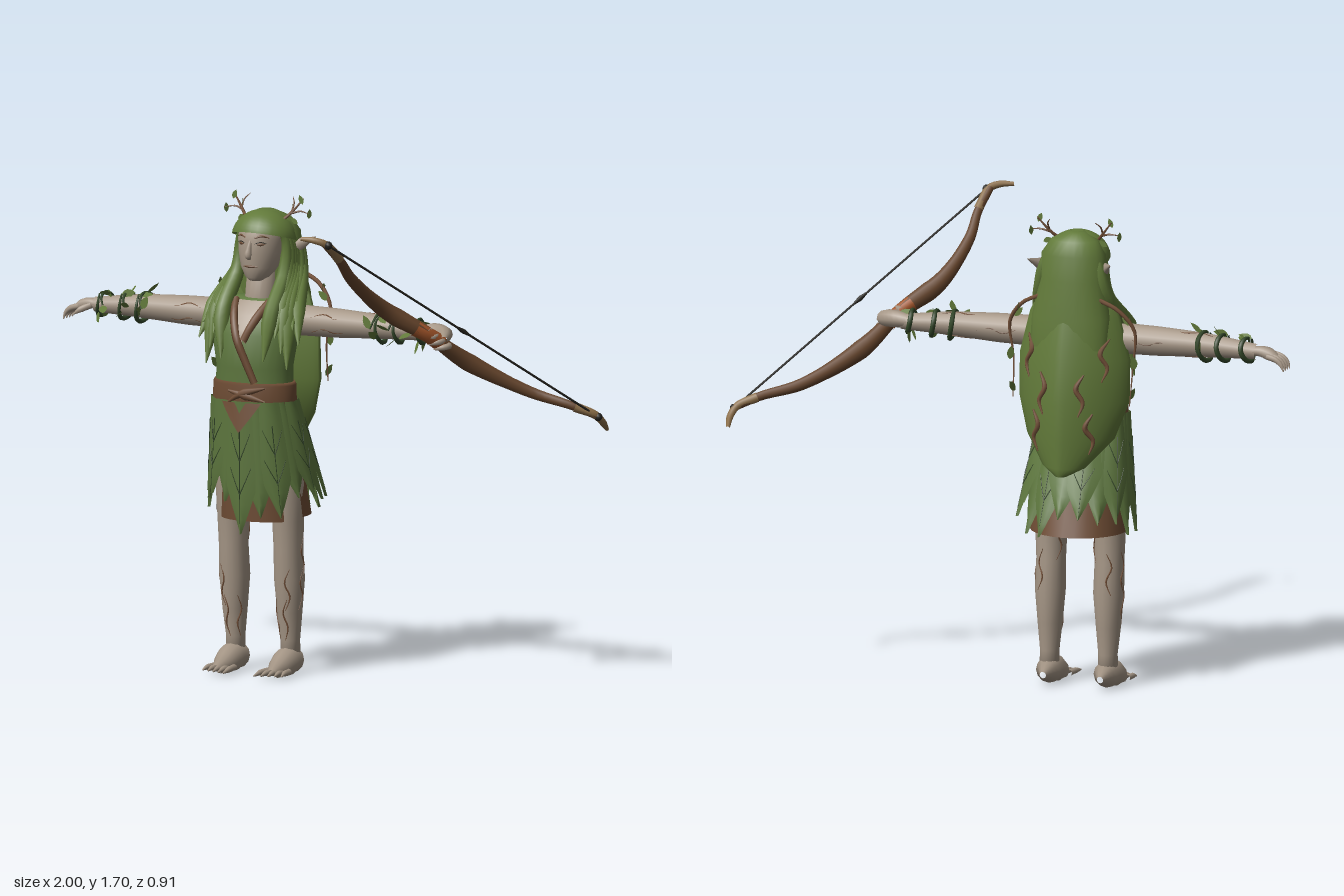
import * as THREE from 'three';

const V = (p) => new THREE.Vector3(...p);
const mat = (name, color, side = THREE.FrontSide) => {
  const m = new THREE.MeshStandardMaterial({ color, side });
  m.name = name;
  return m;
};

// Rings [y, centreZ, radiusX, radiusZ], bottom to top, joined into a closed skin.
// p above 1 makes the section pointed, front scales the depth of its front half
function loft(rings, n = 20, cx = 0, p = 1, front = 1) {
  const pos = [], idx = [], bend = (v) => Math.sign(v) * Math.abs(v) ** p;
  for (const [y, cz, rx, rz] of rings)
    for (let j = 0; j < n; j++) {
      const a = (j / n) * Math.PI * 2, c = bend(Math.cos(a));
      pos.push(cx + bend(Math.sin(a)) * rx, y, cz + c * rz * (c > 0 ? front : 1));
    }
  for (let i = 0; i < rings.length - 1; i++)
    for (let j = 0; j < n; j++) {
      const a = i * n + j, b = i * n + (j + 1) % n;
      idx.push(a, b, b + n, a, b + n, a + n);
    }
  const last = (rings.length - 1) * n, c = pos.length / 3, top = rings[rings.length - 1];
  pos.push(cx, rings[0][0], rings[0][1], cx, top[0], top[1]);
  for (let j = 0; j < n; j++) {
    const k = (j + 1) % n;
    idx.push(c, k, j, c + 1, last + j, last + k);
  }
  return surface(pos, idx);
}

function surface(pos, idx) {
  const g = new THREE.BufferGeometry();
  g.setAttribute('position', new THREE.Float32BufferAttribute(pos, 3));
  g.setIndex(idx);
  g.computeVertexNormals();
  return g;
}

// Ring of a loft at height y, and the depth of its front (s=1) or back (s=-1)
function ringAt(rings, y) {
  let i = 0;
  while (i < rings.length - 2 && rings[i + 1][0] < y) i++;
  const t = THREE.MathUtils.clamp((y - rings[i][0]) / (rings[i + 1][0] - rings[i][0]), 0, 1);
  return rings[i].map((v, k) => v + (rings[i + 1][k] - v) * t);
}
function depth(rings, x, y, s = 1, p = 1) {
  const [, cz, rx, rz] = ringAt(rings, y);
  return cz + s * rz * Math.max(0, 1 - Math.abs(x / rx) ** (2 / p)) ** (p / 2);
}

// Tapering tube through points; scale flattens its section
function strand(points, radii, seg = 14, sides = 8, scale = [1, 1, 1]) {
  const curve = new THREE.CatmullRomCurve3(points.map(V));
  const g = new THREE.TubeGeometry(curve, seg, 1, sides);
  const p = g.attributes.position, v = new THREE.Vector3(), s = V(scale);
  for (let i = 0; i <= seg; i++) {
    const c = curve.getPointAt(i / seg), f = (i / seg) * (radii.length - 1);
    const k = Math.min(Math.floor(f), radii.length - 2);
    const r = radii[k] + (radii[k + 1] - radii[k]) * (f - k);
    for (let j = 0; j <= sides; j++) {
      const n = i * (sides + 1) + j;
      v.fromBufferAttribute(p, n).sub(c).multiplyScalar(r).multiply(s).add(c);
      p.setXYZ(n, v.x, v.y, v.z);
    }
  }
  return g;
}

// Point on a skirt that widens from ellipse e0 to e1, each [y, centreZ, radiusX, radiusZ]
function skirtPoint(e0, e1, t, a, out = 0) {
  const [y, cz, rx, rz] = e0.map((v, k) => v + (e1[k] - v) * t);
  return [Math.sin(a) * (rx + out), y, cz + Math.cos(a) * (rz + out)];
}
function panel(angle, width, e0, e1, rows = 6, cols = 4, ridge = 0) {
  const pos = [], idx = [];
  for (let i = 0; i <= rows; i++)
    for (let j = 0; j <= cols; j++) {
      const u = (j / cols) * 2 - 1;
      pos.push(...skirtPoint(e0, e1, i / rows, angle + u * width(i / rows), ridge * (1 - Math.abs(u))));
      if (i < rows && j < cols) {
        const a = i * (cols + 1) + j, b = a + cols + 1;
        idx.push(a, b, b + 1, a, b + 1, a + 1);
      }
    }
  return surface(pos, idx);
}

export function createModel() {
  const model = new THREE.Group(), body = new THREE.Group();
  body.name = 'figure';
  body.position.x = -0.215;
  model.add(body);
  const D = THREE.DoubleSide;
  const skin = mat('skin', 0xa59686), hair = mat('hair green', 0x627a3a, D), tunicM = mat('tunic green', 0x5d763e, D);
  const leather = mat('leather', 0x6e4c34, D), vine = mat('vine green', 0x34482a), bark = mat('bark brown', 0x75523a);
  const wood = mat('bow wood', 0x65442b), pale = mat('pale wood', 0x8b6e48), dark = mat('dark', 0x26241f), wrap = mat('grip orange', 0xa2552a);
  const add = (name, g, m, parent = body) => {
    const o = new THREE.Mesh(g, m);
    o.name = name;
    parent.add(o);
    return o;
  };
  const leafShape = new THREE.Shape();
  leafShape.moveTo(0, 0);
  leafShape.quadraticCurveTo(0.03, 0.022, 0, 0.055);
  leafShape.quadraticCurveTo(-0.03, 0.022, 0, 0);
  const leafGeo = new THREE.ShapeGeometry(leafShape, 4);
  const leaf = (p, r, s = 1) => {
    const o = add('smallLeaf', leafGeo, hair);
    o.position.set(...p);
    o.rotation.set(...r);
    o.scale.setScalar(s);
  };

  // Torso, belt and neckline
  const torso = [[0.85, -0.06, 0.165, 0.115], [0.97, -0.045, 0.15, 0.098], [1.1, -0.045, 0.145, 0.1],
    [1.22, -0.05, 0.165, 0.11], [1.3, -0.075, 0.17, 0.085], [1.34, -0.09, 0.1, 0.06]];
  add('tunic', loft(torso, 28), tunicM);
  add('belt', loft([[0.965, -0.045, 0.157, 0.1], [0.975, -0.045, 0.16, 0.105], [1.04, -0.045, 0.157, 0.105], [1.05, -0.045, 0.152, 0.1]], 28), leather);
  add('beltFlap', panel(0, (t) => 0.5 * (1 - t) + 0.01, [0.98, -0.045, 0.16, 0.112], [0.875, -0.045, 0.17, 0.122]), leather);
  for (const k of [-1, 1])
    add('beltKnot', strand([[-0.05, 1 + k * 0.02, 0.058], [0, 1.01, 0.064], [0.09, 1.01 - k * 0.025, 0.045]], [0.004, 0.015, 0.003]), leather);
  const onChest = (x, y, o) => [x, y, depth(torso, x, y) + o];
  const vPos = [], vIdx = [];
  for (let i = 0; i <= 6; i++)
    for (let j = 0; j <= 4; j++) {
      vPos.push(...onChest((j / 2 - 1) * (0.004 + i * 0.0105), 1.19 + i * 0.024, 0.005));
      if (i < 6 && j < 4) {
        const a = i * 5 + j;
        vIdx.push(a, a + 1, a + 6, a, a + 6, a + 5);
      }
    }
  add('chestSkin', surface(vPos, vIdx), skin);
  for (const s of [-1, 1])
    add('necklineTrim', strand([1, 0.7, 0.4, 0.1, -0.35, -0.9].slice(0, s < 0 ? 6 : 4).map((t) =>
      onChest(s * (0.005 + t * 0.063), 1.185 + t * 0.148, 0.006)), [0.015, 0.016, 0.014], 14, 8, [1, 1, 0.5]), leather);

  // Head and face
  add('neck', loft([[1.28, -0.085, 0.07, 0.05], [1.34, -0.085, 0.055, 0.05], [1.46, -0.1, 0.052, 0.05]], 16), skin);
  const head = [[1.402, -0.06, 0.025, 0.03], [1.415, -0.07, 0.044, 0.054], [1.45, -0.086, 0.067, 0.078],
    [1.5, -0.1, 0.08, 0.095], [1.55, -0.105, 0.085, 0.098], [1.6, -0.11, 0.08, 0.09], [1.63, -0.11, 0.05, 0.06]];
  add('head', loft(head, 24), skin);
  const onFace = (x, y, o = 0.002) => [x, y, depth(head, x, y) + o];
  add('nose', strand([onFace(0, 1.55, -0.006), onFace(0, 1.52, 0.005), onFace(0, 1.494, 0.01), onFace(0, 1.482, -0.005)], [0.005, 0.009, 0.014, 0.004]), skin);
  add('mouth', strand([-0.028, 0, 0.028].map((x) => onFace(x, 1.456)), [0.002, 0.006, 0.002], 8, 6, [1, 0.8, 0.5]), leather);
  for (const s of [-1, 1]) {
    add('eye', strand([0.024, 0.038, 0.052].map((x) => onFace(s * x, 1.536)), [0.001, 0.007, 0.001], 8, 6, [1, 0.8, 0.4]), leather);
    add('eyelid', strand([0.02, 0.038, 0.056].map((x, i) => onFace(s * x, 1.538 + [0, 0.006, 0][i])), [0.001, 0.002, 0.001], 8, 5), dark);
    add('eyebrow', strand([0.018, 0.04, 0.062].map((x, i) => onFace(s * x, 1.558 + [0, 0.007, 0][i])), [0.002, 0.004, 0.001], 8, 6, [1, 1, 0.5]), bark);
    add('ear', strand([[s * 0.07, 1.505, -0.12], [s * 0.115, 1.52, -0.155], [s * 0.157, 1.548, -0.205]], [0.02, 0.025, 0.001], 10, 8, [0.5, 1, 1]), skin);
  }

  // Hair: cap, long back and locks over the shoulders
  const cap = new THREE.SphereGeometry(1, 28, 12, 0, Math.PI * 2, 0, Math.PI / 2).scale(0.118, 0.1, 0.113).rotateX(-0.28);
  add('hairCap', cap.translate(0, 1.546, -0.118), hair);
  add('backHair', loft([[1.18, -0.21, 0.12, 0.055], [1.24, -0.19, 0.15, 0.07], [1.35, -0.18, 0.145, 0.08], [1.48, -0.16, 0.12, 0.08],
    [1.57, -0.155, 0.118, 0.08], [1.62, -0.145, 0.085, 0.065], [1.645, -0.13, 0.03, 0.03]], 24), hair);
  for (const s of [-1, 1])
    for (let i = 0; i < 7; i++) {
      const u = i / 6, low = 1.13 + 0.05 * ((i * 3) % 4) - u * 0.04;
      add('hairLock', strand([[s * 0.055, 1.6, -0.07 - u * 0.08], [s * (0.09 + u * 0.01), 1.54, -0.105 - u * 0.07],
        [s * (0.094 + u * 0.032), 1.43, -0.09 - u * 0.07], [s * (0.098 + u * 0.07), 1.3, 0.01 - u * 0.06],
        [s * (0.085 + u * 0.115), low, 0.052 - u * 0.05]], [0.012, 0.022, 0.027, 0.03, 0.002], 20, 8), hair);
    }

  // Mossy cloak with roots on the back
  const cloak = [[0.79, -0.285, 0.02, 0.015], [0.82, -0.25, 0.08, 0.055], [0.92, -0.18, 0.165, 0.127], [1.05, -0.145, 0.208, 0.163],
    [1.2, -0.14, 0.208, 0.15], [1.35, -0.14, 0.17, 0.118], [1.45, -0.14, 0.12, 0.09]];
  add('cloak', loft(cloak, 32, 0, 1.35, 0.25), hair);
  for (const s of [-1, 1]) {
    for (const [x, y] of [[0.07, 1.16], [0.14, 1.28], [0.1, 1.02]])
      add('cloakRoot', strand([0, 1, 2, 3].map((i) => {
        const px = s * (x + [0.012, -0.012, 0.012, -0.004][i]), py = y - i * 0.05;
        return [px, py, depth(cloak, px, py, -1, 1.35) - 0.003];
      }), [0.003, 0.01, 0.008, 0.002], 18, 6), bark);
    add('shoulderRoot', strand([[s * 0.11, 1.42, -0.2], [s * 0.18, 1.385, -0.19], [s * 0.235, 1.31, -0.17], [s * 0.225, 1.18, -0.16], [s * 0.22, 1.04, -0.18]],
      [0.008, 0.007, 0.003, 0.002], 20, 6), bark);
    [[0.225, 1.33], [0.235, 1.17], [0.215, 1.06], [0.2, 1.37]].forEach(([x, y], i) => leaf([s * x, y, -0.17], [0, i * 0.6, s * (0.9 - i * 0.8)], 0.9));
    // Twigs on the head
    add('twig', strand([[s * 0.06, 1.6, -0.1], [s * 0.095, 1.635, -0.13], [s * 0.14, 1.69, -0.15]], [0.007, 0.005, 0.002], 8, 6), bark);
    add('twig', strand([[s * 0.095, 1.635, -0.13], [s * 0.13, 1.645, -0.14], [s * 0.17, 1.64, -0.13]], [0.004, 0.003, 0.001], 8, 6), bark);
    add('twig', strand([[s * 0.1, 1.64, -0.13], [s * 0.1, 1.67, -0.15], [s * 0.085, 1.69, -0.17]], [0.004, 0.003, 0.001], 8, 6), bark);
    [[0.14, 1.67], [0.165, 1.62], [0.1, 1.65], [0.12, 1.6]].forEach(([x, y], i) => leaf([s * x, y, -0.14], [0, i, s * (0.4 - i * 0.5)], 0.65));
  }

  // Leaf skirt in two layers over cloth panels; the outer leaves are veined
  const waist = [0.985, -0.045, 0.15, 0.1];
  add('skirtBase', panel(0, () => Math.PI, waist, [0.74, -0.085, 0.175, 0.13], 4, 28), tunicM);
  for (let layer = 0; layer < 2; layer++)
    for (let i = 0; i < 9; i++) {
      const a = ((i + layer / 2) / 9) * Math.PI * 2, o = layer ? 0 : 0.006;
      const tip = i === 0 && !layer ? 0.51 : [0.62, 0.57, 0.64][(i + layer) % 3];
      const e0 = [0.985, -0.045, 0.152 + o, 0.1 + o], e1 = [tip, -0.13, 0.205 + o, 0.18 + o];
      const w = (t) => 0.4 * (t < 0.55 ? 0.7 + t * 0.55 : 2.22 * (1 - t)) + 0.004;
      add('skirtLeaf', panel(a, w, e0, e1, 9, 4, 0.01), tunicM);
      const vein = (t0, t1, da) => add('leafVein', strand([skirtPoint(e0, e1, t0, a, 0.01),
        skirtPoint(e0, e1, (t0 + t1) / 2, a + da / 2, da ? 0.008 : 0.01), skirtPoint(e0, e1, t1, a + da, da ? 0.005 : 0.01)], [0.0022, 0.001], 4, 4), vine);
      if (layer) continue;
      vein(0.2, 0.92, 0);
      for (const k of [-1, 1]) {
        vein(0.7, 0.5, k * 0.22);
        vein(0.45, 0.24, k * 0.22);
      }
    }
  add('frontCloth', panel(0, () => 1.05, [0.9, -0.05, 0.13, 0.08], [0.55, -0.08, 0.145, 0.1], 4, 8), leather);
  add('backCloth', panel(Math.PI, () => 1.7, [0.9, -0.06, 0.15, 0.1], [0.565, -0.1, 0.175, 0.17], 4, 14), leather);

  // Legs, feet and arms
  const leg = [[0.06, -0.105, 0.036, 0.036], [0.12, -0.105, 0.034, 0.036], [0.22, -0.1, 0.044, 0.049], [0.34, -0.098, 0.054, 0.06],
    [0.45, -0.09, 0.052, 0.056], [0.55, -0.088, 0.056, 0.06], [0.68, -0.08, 0.06, 0.064], [0.82, -0.07, 0.04, 0.055]];
  for (const s of [-1, 1]) {
    add('leg', loft(leg, 16, s * 0.11), skin);
    for (let k = 0; k < 7; k++)
      add('legRoot', strand([0, 1, 2, 3].map((i) => {
        const y = 0.12 + (k % 4) * 0.11 + i * 0.05, r = ringAt(leg, y), a = k * 1.3 + (i % 2) * 0.35;
        return [s * (0.11 + Math.sin(a) * r[2]), y, r[1] + Math.cos(a) * r[3]];
      }), [0.001, 0.0035, 0.003, 0.001], 12, 5), bark);
    const foot = strand([[s * 0.108, 0.04, -0.178], [s * 0.108, 0.046, -0.13], [s * 0.11, 0.046, -0.08], [s * 0.11, 0.022, -0.01], [s * 0.112, 0.012, 0.035]],
      [0.012, 0.046, 0.05, 0.04, 0.02], 16, 12);
    const fp = foot.attributes.position;
    for (let i = 0; i < fp.count; i++) fp.setY(i, Math.max(0, fp.getY(i)));
    add('foot', foot, skin);
    for (let i = 0; i < 5; i++) {
      const x = 0.07 + i * 0.02;
      add('toe', strand([[s * x, 0.018, -0.02], [s * (x + (i - 2) * 0.003), 0.017, 0.03], [s * (x + (i - 2) * 0.004), 0.01, 0.08 - i * 0.007]], [0.012, 0.011, 0.002], 8, 8), skin);
    }
    add('arm', strand([[s * 0.12, 1.265, -0.1], [s * 0.3, 1.265, -0.1], [s * 0.48, 1.265, -0.1], [s * 0.67, 1.257, -0.1]], [0.055, 0.052, 0.042, 0.027], 16, 14), skin);
    for (let k = 0; k < 5; k++)
      add('armRoot', strand([0, 1, 2, 3].map((i) => {
        const x = 0.22 + (k % 2) * 0.14 + i * 0.05, a = k * 1.3 + 0.4 + (i % 2) * 0.3, r = 0.0565 - (x - 0.12) * 0.04;
        return [s * x, 1.265 + Math.sin(a) * r, -0.1 + Math.cos(a) * r];
      }), [0.001, 0.0035, 0.001], 10, 5), bark);
    // Leafy bands round the forearm
    [0.46, 0.53, 0.62].forEach((x0, k) => {
      const r = 0.051 - k * 0.005;
      const turn = Array.from({ length: 13 }, (_, i) => [s * (x0 + i * 0.0025 + 0.008 * Math.sin(i)),
        1.262 + Math.sin(i * 0.62) * r, -0.1 + Math.cos(i * 0.62) * r]);
      add('armVine', strand(turn, [0.003, 0.009, 0.009, 0.003], 40, 6), vine);
      for (let i = 0; i < 5; i++) leaf(turn[i * 3], [i * 1.3 + k, i * 0.8, s * 0.5 - i * 1.1], 1);
    });
  }

  // Open hand
  add('openPalm', strand([[-0.65, 1.258, -0.1], [-0.69, 1.26, -0.1], [-0.725, 1.25, -0.1], [-0.745, 1.238, -0.1]], [0.026, 0.03, 0.036, 0.022], 10, 10, [0.6, 0.6, 1]), skin);
  for (let i = 0; i < 4; i++) {
    const z = -0.133 + i * 0.021;
    add('openFinger', strand([[-0.72, 1.25, z], [-0.755, 1.24, z], [-0.775, 1.222, z], [-0.783, 1.2, z]], [0.011, 0.011, 0.009, 0.002], 8, 8), skin);
  }
  add('openThumb', strand([[-0.68, 1.255, -0.08], [-0.71, 1.24, -0.06], [-0.74, 1.22, -0.06]], [0.012, 0.011, 0.002], 8, 8), skin);

  // Hand closed on the bow
  add('gripPalm', strand([[0.64, 1.26, -0.1], [0.69, 1.265, -0.1], [0.74, 1.26, -0.08], [0.762, 1.25, -0.04]], [0.028, 0.036, 0.036, 0.012], 10, 10, [1, 0.85, 1]), skin);
  for (let i = 0; i < 4; i++) {
    const x = 0.765 - i * 0.017, y = 1.225 + i * 0.019, z = -0.055 + i * 0.016;
    add('gripFinger', strand([[x - 0.02, y, z - 0.035], [x + 0.008, y, z], [x - 0.014, y - 0.005, z + 0.022], [x - 0.04, y - 0.012, z + 0.018]], [0.011, 0.012, 0.011, 0.003], 10, 8), skin);
  }

  // Bow, strung across two curved limbs
  const bow = new THREE.Group();
  bow.name = 'bow';
  model.add(bow);
  add('bowLimbs', strand([[0.32, 1.64, 0.42], [0.337, 1.57, 0.34], [0.335, 1.49, 0.25], [0.385, 1.365, 0.1], [0.495, 1.27, -0.01], [0.59, 1.155, -0.15],
    [0.76, 1.045, -0.285], [0.9, 1.0, -0.335], [0.975, 0.965, -0.375]], [0.013, 0.018, 0.024, 0.034, 0.024, 0.034, 0.024, 0.018, 0.013], 48, 8), wood, bow);
  add('bowGrip', strand([[0.465, 1.295, 0.02], [0.495, 1.27, -0.01], [0.525, 1.235, -0.055]], [0.03, 0.027, 0.03], 8, 10), wrap, bow);
  for (const p of [[[0.338, 1.575, 0.345], [0.325, 1.638, 0.42], [0.29, 1.652, 0.44], [0.24, 1.655, 0.446]],
    [[0.91, 0.996, -0.338], [0.972, 0.967, -0.375], [0.985, 0.935, -0.41], [0.976, 0.905, -0.455]]])
    add('bowTip', strand(p, [0.018, 0.016, 0.014, 0.012, 0.007], 14, 8), pale, bow);
  const a = V([0.335, 1.635, 0.42]), b = V([0.982, 0.96, -0.38]);
  add('bowString', new THREE.TubeGeometry(new THREE.LineCurve3(a, b), 1, 0.004, 6), dark, bow);
  const at = (t) => a.clone().lerp(b, t).toArray();
  add('stringKnot', strand([at(0.475), at(0.5), at(0.525)], [0.004, 0.009, 0.004], 6, 8), dark, bow);
  for (const p of [a, b]) add('stringLoop', new THREE.SphereGeometry(0.015, 10, 8).translate(p.x, p.y, p.z), dark, bow);
  return model;
}
